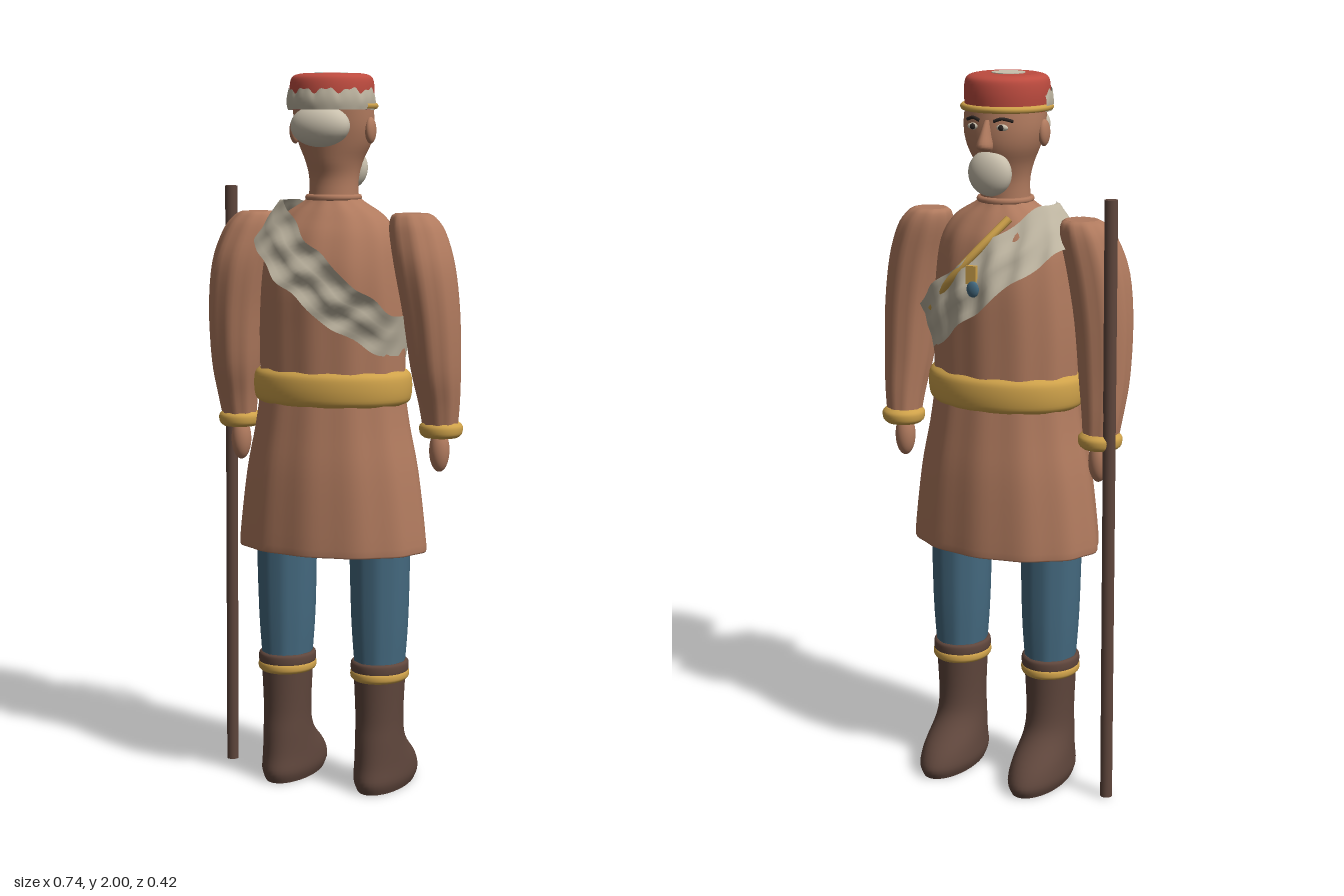
import * as THREE from 'three';

const mat = (name, color, side = THREE.FrontSide) => {
  const m = new THREE.MeshStandardMaterial({ color, side });
  m.name = name;
  return m;
};

// Interpolate one column of a section table; t runs 0..1 over the rows
const column = (rows, c) => new THREE.SplineCurve(rows.map((r, i) => new THREE.Vector2(i, r[c])));

// Closed body from oval sections [y, cx, cz, rx, rz], capped at both ends
function loft(rows, { seg = 40, steps = 4, folds = 0, depth = 0 } = {}) {
  const cols = [0, 1, 2, 3, 4].map(c => column(rows, c));
  const n = (rows.length - 1) * steps, pos = [], idx = [];
  const ring = k => {
    const [y, cx, cz, rx, rz] = cols.map(c => c.getPoint(k / n).y);
    for (let j = 0; j < seg; j++) {
      const a = j / seg * Math.PI * 2, f = 1 + depth * Math.cos(folds * a);
      pos.push(cx + rx * f * Math.cos(a), y, cz + rz * f * Math.sin(a));
    }
    return [cx, y, cz];
  };
  for (let k = 0; k <= n; k++) ring(k);
  for (let k = 0; k < n; k++) for (let j = 0; j < seg; j++) {
    const a = k * seg + j, b = k * seg + (j + 1) % seg;
    idx.push(a, a + seg, b, b, a + seg, b + seg);
  }
  for (const k of [0, n]) {
    const base = pos.length / 3;
    const centre = ring(k), c = base + seg;
    pos.push(...centre);
    for (let j = 0; j < seg; j++) {
      const p = base + j, q = base + (j + 1) % seg;
      k === 0 ? idx.push(c, p, q) : idx.push(c, q, p);
    }
  }
  return buffer(pos, idx);
}

// Open sheet from a rule fn(u, v) -> [x, y, z]
function sheet(fn, nu, nv) {
  const pos = [], idx = [];
  for (let i = 0; i <= nu; i++) for (let j = 0; j <= nv; j++) pos.push(...fn(i / nu, j / nv));
  for (let i = 0; i < nu; i++) for (let j = 0; j < nv; j++) {
    const a = i * (nv + 1) + j, b = a + nv + 1;
    idx.push(a, a + 1, b, b, a + 1, b + 1);
  }
  return buffer(pos, idx);
}

function buffer(pos, idx) {
  const g = new THREE.BufferGeometry();
  g.setAttribute('position', new THREE.Float32BufferAttribute(pos, 3));
  g.setIndex(idx);
  g.computeVertexNormals();
  return g;
}

const blob = (x, y, z, rx, ry, rz) =>
  new THREE.SphereGeometry(1, 28, 18).scale(rx, ry, rz).translate(x, y, z);

const tube = (pts, r) => new THREE.TubeGeometry(
  new THREE.CatmullRomCurve3(pts.map(p => new THREE.Vector3(...p))), 40, r, 10);

export function createModel() {
  const model = new THREE.Group();
  model.name = 'sentryFigure';
  const tan = mat('tan', 0xb07a5e), red = mat('red', 0xbd4b3f), gold = mat('gold', 0xcfa24a),
    blue = mat('blue', 0x44697f), brown = mat('darkBrown', 0x5f463c),
    cream = mat('cream', 0xc9c0ad), linen = mat('linen', 0xbdb4a0, THREE.DoubleSide),
    dark = mat('nearBlack', 0x2b2422);
  const add = (name, geo, m) => {
    const mesh = new THREE.Mesh(geo, m);
    mesh.name = name;
    model.add(mesh);
    return mesh;
  };

  // Legs, boots, arms and face details, mirrored
  for (const s of [-1, 1]) {
    const side = s > 0 ? 'left' : 'right';
    const x = 0.142 * s;
    add(side + 'Boot', loft([
      [0, x, -0.055, 0.068, 0.145], [0.03, x, -0.055, 0.078, 0.155], [0.075, x, -0.045, 0.076, 0.135],
      [0.14, x, -0.01, 0.068, 0.092], [0.21, x, -0.003, 0.066, 0.078], [0.34, x, -0.004, 0.072, 0.082],
    ]), brown);
    add(side + 'BootCuff', loft([
      [0.335, x, -0.004, 0.074, 0.084], [0.345, x, -0.004, 0.08, 0.088],
      [0.365, x, -0.004, 0.08, 0.088], [0.372, x, -0.004, 0.074, 0.082],
    ]), brown);
    add(side + 'BootBand', loft([
      [0.318, x, -0.004, 0.074, 0.084], [0.326, x, -0.004, 0.081, 0.09],
      [0.34, x, -0.004, 0.081, 0.09], [0.348, x, -0.004, 0.074, 0.084],
    ]), gold);
    add(side + 'Trouser', loft([
      [0.36, x, -0.004, 0.07, 0.08], [0.5, x, -0.004, 0.08, 0.086], [0.75, x, -0.002, 0.086, 0.09],
    ], { folds: 10, depth: 0.015 }), blue);

    add(side + 'Sleeve', loft([
      [1.02, 0.305 * s, -0.042, 0.046, 0.046], [1.1, 0.306 * s, -0.03, 0.056, 0.057],
      [1.2, 0.302 * s, -0.012, 0.068, 0.072], [1.35, 0.293 * s, 0, 0.077, 0.084],
      [1.48, 0.274 * s, 0.004, 0.082, 0.088], [1.57, 0.25 * s, -0.005, 0.077, 0.075],
      [1.61, 0.235 * s, -0.01, 0.062, 0.058], [1.622, 0.23 * s, -0.01, 0.045, 0.042],
    ], { folds: 9, depth: 0.03 }), tan);
    add(side + 'SleeveCuff', loft([
      [1.008, 0.306 * s, -0.043, 0.048, 0.048], [1.018, 0.306 * s, -0.043, 0.058, 0.058],
      [1.038, 0.306 * s, -0.043, 0.06, 0.06], [1.05, 0.306 * s, -0.042, 0.05, 0.05],
    ]), gold);
    add(side + 'Hand', blob(0.302 * s, 0.97, -0.042, 0.028, 0.06, 0.03), tan);

    add(side + 'Ear', blob(0.112 * s, 1.845, 0, 0.014, 0.036, 0.024), tan);
    add(side + 'EyeWhite', blob(0.042 * s, 1.866, -0.111, 0.018, 0.009, 0.008), cream);
    add(side + 'Pupil', blob(0.042 * s, 1.866, -0.117, 0.008, 0.008, 0.005), dark);
    add(side + 'Eyebrow', tube([[0.02 * s, 1.882, -0.117], [0.042 * s, 1.889, -0.112], [0.068 * s, 1.882, -0.096]], 0.0045), dark);
  }

  // Coat
  add('coatSkirt', loft([
    [0.69, 0, 0, 0.268, 0.183], [0.71, 0, 0, 0.274, 0.188], [0.9, 0, 0, 0.25, 0.182],
    [1.03, 0, 0, 0.224, 0.167], [1.14, 0, 0, 0.208, 0.152],
  ], { seg: 80, folds: 12, depth: 0.014 }), tan);
  const chest = [
    [1.14, 0, 0, 0.208, 0.155], [1.3, 0, 0, 0.21, 0.16], [1.45, 0, 0, 0.2, 0.162],
    [1.55, 0, -0.005, 0.185, 0.138], [1.61, 0, -0.008, 0.15, 0.105], [1.65, 0, -0.008, 0.088, 0.077],
    [1.665, 0, -0.008, 0.07, 0.068],
  ];
  add('coatBody', loft(chest, { seg: 80, folds: 12, depth: 0.014 }), tan);
  add('belt', loft([
    [1.098, 0, 0, 0.212, 0.158], [1.112, 0, 0, 0.224, 0.168], [1.145, 0, 0, 0.228, 0.172],
    [1.178, 0, 0, 0.224, 0.168], [1.193, 0, 0, 0.208, 0.154],
  ], { seg: 64 }), gold);

  // Sash looping from the right shoulder to the left hip
  const chestDepth = y => {
    const i = Math.max(1, chest.findIndex(r => r[0] >= y));
    const p = chest[i - 1], q = chest[i];
    return THREE.MathUtils.mapLinear(y, p[0], q[0], p[4], q[4]);
  };
  add('sash', sheet((u, v) => {
    const a = u * Math.PI * 2, w = (v - 0.5) * 0.13, c = Math.cos(a);
    const lean = 0.6 * (1 - 0.75 * Math.max(0, c) ** 3);
    const x = 0.018 + 0.2 * c + w * lean;
    const y = Math.min(1.655, 1.447 - 0.165 * c + w * 0.84 + 0.006 * Math.sin(9 * a));
    const puff = 0.034 + 0.007 * Math.sin(14 * a + 6 * v) + 0.006 * Math.cos(v * 6.3 * 2);
    return [x, y, Math.sin(a) * (chestDepth(y) + puff) * (1 + 0.1 * Math.sin(a) ** 2 * c * c)];
  }, 120, 8), linen);

  // Chest cord and medal
  add('chestCord', tube([[-0.06, 1.625, -0.105], [-0.01, 1.56, -0.158], [0.05, 1.49, -0.185],
    [0.11, 1.425, -0.172], [0.16, 1.37, -0.138]], 0.011), gold);
  add('medalRibbon', new THREE.BoxGeometry(0.03, 0.05, 0.012).translate(0.008, 1.482, -0.191), gold);
  add('medal', blob(0, 1.445, -0.2, 0.018, 0.022, 0.009), blue);

  // Head
  add('head', loft([
    [1.64, 0, -0.006, 0.07, 0.068], [1.71, 0, -0.01, 0.068, 0.068], [1.76, 0, -0.012, 0.078, 0.084],
    [1.81, 0, -0.016, 0.1, 0.1], [1.86, 0, -0.012, 0.111, 0.108], [1.92, 0, -0.002, 0.11, 0.112],
  ]), tan);
  add('collar', new THREE.TorusGeometry(0.07, 0.009, 8, 40).rotateX(Math.PI / 2).translate(0, 1.663, -0.007), tan);
  add('nose', loft([
    [1.805, 0, -0.122, 0.016, 0.018], [1.818, 0, -0.129, 0.021, 0.029],
    [1.85, 0, -0.122, 0.014, 0.022], [1.885, 0, -0.112, 0.008, 0.012],
  ], { seg: 16 }), tan);
  add('beard', blob(0, 1.742, -0.099, 0.063, 0.062, 0.038), cream);
  add('backHair', blob(0, 1.857, 0.088, 0.085, 0.057, 0.052), cream);

  // Cap with pale fringe at the back, gold front braid and crown disc
  const cap = [[1.9, 0, 0.004, 0.112, 0.117], [1.945, 0, 0.004, 0.116, 0.12],
    [1.98, 0, 0.004, 0.113, 0.116], [1.993, 0, 0.004, 0.103, 0.105], [1.998, 0, 0.004, 0.085, 0.087]];
  add('cap', loft(cap), red);
  add('capFringe', sheet((u, v) => {
    const a = -0.1 + u * (Math.PI + 0.2);
    const top = 1.952 + 0.006 * Math.sin(11 * a) + 0.004 * Math.sin(23 * a);
    const bulge = 0.004 + 0.004 * Math.sin(v * Math.PI);
    return [(0.116 + bulge) * Math.cos(a), 1.9 + v * (top - 1.9), 0.004 + (0.12 + bulge) * Math.sin(a)];
  }, 80, 6), linen);
  const braid = [];
  for (let i = 0; i <= 12; i++) {
    const a = Math.PI - 0.3 + i / 12 * (Math.PI + 0.6);
    braid.push([0.117 * Math.cos(a), 1.911, 0.004 + 0.122 * Math.sin(a)]);
  }
  add('capBraid', tube(braid, 0.009), gold);
  add('capCrownDisc', new THREE.CylinderGeometry(0.046, 0.046, 0.004, 32).translate(0, 1.998, 0.01), cream);

  // Staff held in the right hand
  const low = new THREE.Vector3(-0.354, 0.003, -0.078), high = new THREE.Vector3(-0.34, 1.69, -0.066);
  const staff = add('staff', new THREE.CylinderGeometry(0.018, 0.017, low.distanceTo(high), 14), brown);
  staff.position.copy(low).lerp(high, 0.5);
  staff.quaternion.setFromUnitVectors(new THREE.Vector3(0, 1, 0), high.clone().sub(low).normalize());

  return model;
}
